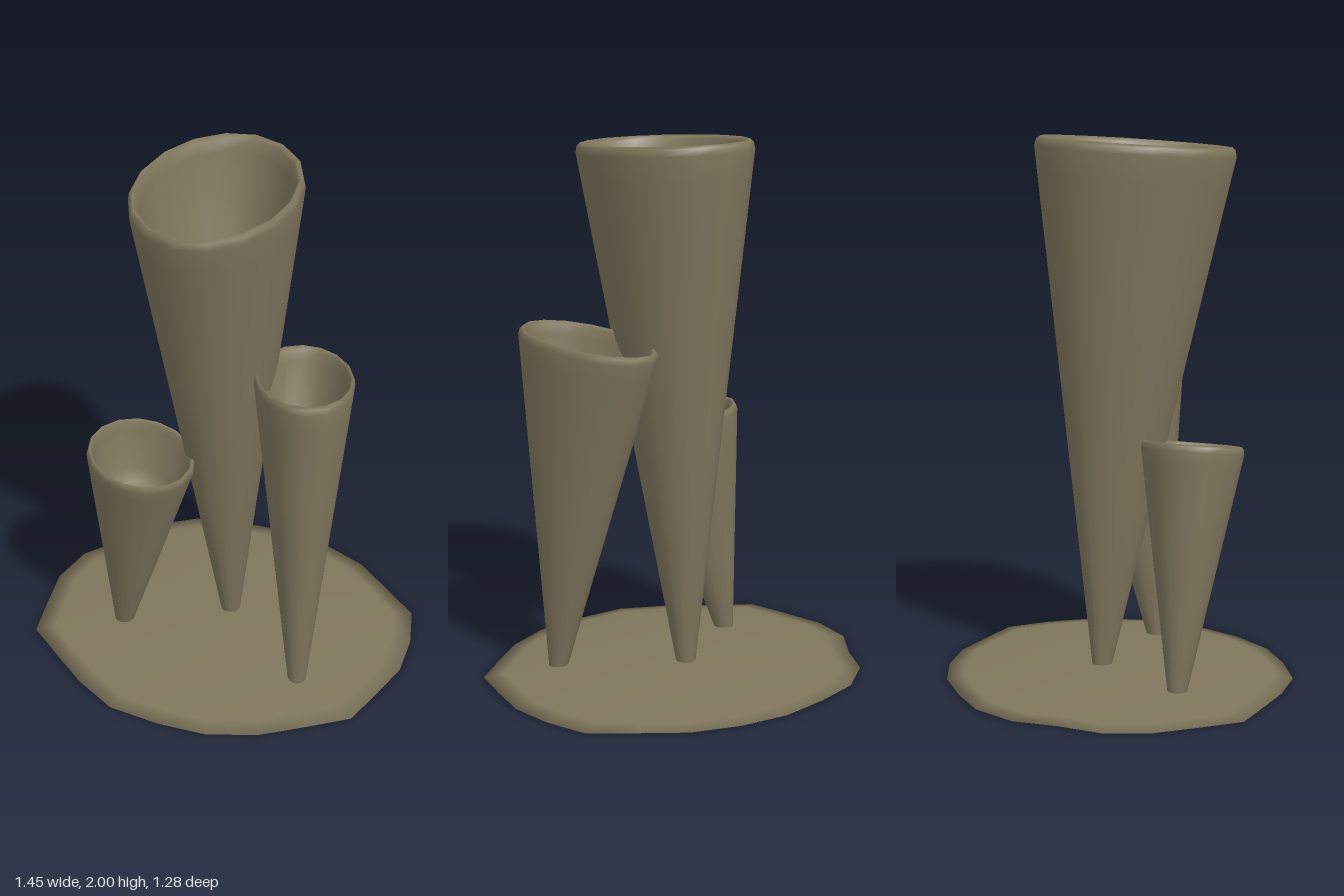
import * as THREE from 'three';

const stone = new THREE.MeshStandardMaterial({ color: 0x80765d });
stone.name = 'olive stone';

// Smooth surface through closed rings of equal length, outside facing outwards
function loft(name, rings) {
  const n = rings[0].length, index = [];
  for (let i = 0; i < rings.length - 1; i++) {
    for (let j = 0; j < n; j++) {
      const a = i * n + j, b = i * n + (j + 1) % n;
      index.push(a, a + n, b, b, a + n, b + n);
    }
  }
  const geometry = new THREE.BufferGeometry();
  geometry.setAttribute('position', new THREE.Float32BufferAttribute(rings.flat(2), 3));
  geometry.setIndex(index);
  geometry.computeVertexNormals();
  const mesh = new THREE.Mesh(geometry, stone);
  mesh.name = name;
  return mesh;
}

// Hollow leaning cone: round foot, slanted oval mouth, rounded lip and bowl
function makeTube(name, { foot, footRadius, mouth, half, skew, slope, lip, depth }) {
  const sides = 16;
  const ring = fn => Array.from({ length: sides }, (_, j) => {
    const t = j / sides * Math.PI * 2;
    return fn(Math.cos(t), Math.sin(t));
  });
  const axis = [0, 1, 2].map(k => (mouth[k] - foot[k]) / (mouth[1] - foot[1]));
  // Ring parallel to the mouth, scaled and sunk along the axis
  const mouthRing = (scale, drop) => ring((c, s) => {
    const x = (half[0] * c + skew[0] * s) * scale;
    const z = (half[1] * s + skew[1] * c) * scale;
    return [mouth[0] - axis[0] * drop + x,
      mouth[1] - drop + slope[0] * x + slope[1] * z,
      mouth[2] - axis[2] * drop + z];
  });
  const footRing = r => ring((c, s) => [foot[0] + r * c, foot[1], foot[2] + r * s]);
  const outer = mouthRing(1, lip), base = footRing(footRadius);
  const wall = [0, 0.33, 0.66, 0.95, 1].map(f =>
    base.map((p, j) => p.map((v, k) => v + (outer[j][k] - v) * f)));
  return loft(name, [
    footRing(0), ...wall,
    mouthRing(0.985, lip * 0.3), mouthRing(0.95, 0), mouthRing(0.905, lip * 0.4),
    mouthRing(0.87, lip * 1.6), mouthRing(0.65, depth * 0.88),
    mouthRing(0.4, depth), mouthRing(0, depth * 1.03),
  ]);
}

// Thin irregular disc, gently domed on top
function makeBase() {
  const outline = [
    [0, -0.64], [0.19, -0.615], [0.37, -0.55], [0.52, -0.44], [0.66, -0.335],
    [0.71, -0.17], [0.727, 0], [0.69, 0.17], [0.65, 0.33], [0.51, 0.44],
    [0.37, 0.545], [0.19, 0.62], [0, 0.637], [-0.2, 0.625], [-0.37, 0.54],
    [-0.52, 0.435], [-0.66, 0.335], [-0.695, 0.17], [-0.727, 0], [-0.7, -0.17],
    [-0.6, -0.31], [-0.52, -0.46], [-0.37, -0.57], [-0.19, -0.615],
  ];
  const rows = [[0, 0], [0.9, 0], [1, 0.003], [0.9, 0.014], [0.55, 0.033], [0, 0.04]];
  return loft('base', rows.map(([k, y]) => outline.map(([x, z]) => [x * k, y, z * k])));
}

export function createModel() {
  const group = new THREE.Group();
  group.name = 'tube sponge cluster';
  group.add(
    makeBase(),
    makeTube('tallTube', {
      foot: [0, 0.01, -0.06], footRadius: 0.033, mouth: [0, 1.975, 0.07],
      half: [0.29, 0.37], skew: [0, 0], slope: [0, -0.068], lip: 0.035, depth: 0.45,
    }),
    makeTube('middleTube', {
      foot: [0.39, 0.01, 0.22], footRadius: 0.033, mouth: [0.337, 1.295, 0.077],
      half: [0.196, 0.25], skew: [0.03, 0.04], slope: [0.05, 0.13], lip: 0.03, depth: 0.33,
    }),
    makeTube('shortTube', {
      foot: [-0.363, 0.01, 0.155], footRadius: 0.033, mouth: [-0.23, 0.908, 0.235],
      half: [0.2, 0.185], skew: [0.015, -0.015], slope: [-0.15, -0.1], lip: 0.025, depth: 0.22,
    }),
  );
  return group;
}
